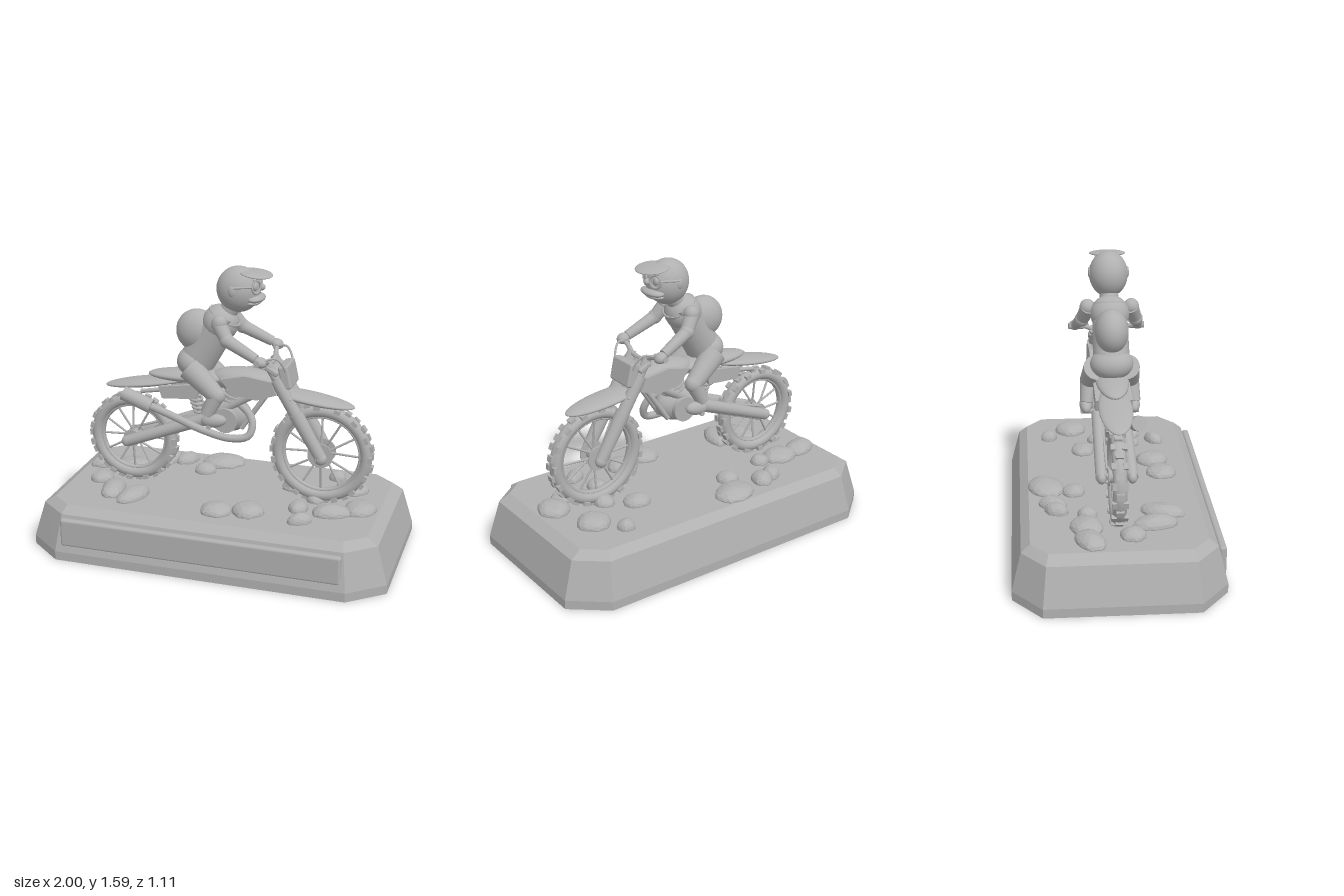
import * as THREE from 'three';
import { RoundedBoxGeometry } from 'three/addons/geometries/RoundedBoxGeometry.js';
import { ConvexGeometry } from 'three/addons/geometries/ConvexGeometry.js';

const V = (x, y, z) => new THREE.Vector3(x, y, z);
const grey = new THREE.MeshStandardMaterial({ color: 0xb0b0b0 });
grey.name = 'plain grey';

function add(parent, name, geometry) {
  const mesh = new THREE.Mesh(geometry, grey);
  mesh.name = name;
  parent.add(mesh);
  return mesh;
}
// Ellipsoid with half sizes s, tilted in the side plane
function ball(parent, name, p, s, tilt = 0) {
  const m = add(parent, name, new THREE.SphereGeometry(1, 28, 18));
  m.position.set(...p);
  m.scale.set(...s);
  m.rotation.z = tilt;
  return m;
}
// Straight round bar from a to b
function rod(parent, name, a, b, r0, r1 = r0) {
  const p = V(...a), q = V(...b);
  const m = add(parent, name, new THREE.CylinderGeometry(r1, r0, p.distanceTo(q), 18));
  m.position.copy(p).add(q).multiplyScalar(0.5);
  m.quaternion.setFromUnitVectors(V(0, 1, 0), q.sub(p).normalize());
  return m;
}
function tube(parent, name, points, r) {
  const curve = new THREE.CatmullRomCurve3(points.map(p => V(...p)));
  return add(parent, name, new THREE.TubeGeometry(curve, 40, r, 10));
}
function block(parent, name, p, s, tilt = 0, r = 0.01) {
  const m = add(parent, name, new RoundedBoxGeometry(...s, 2, r));
  m.position.set(...p);
  m.rotation.z = tilt;
  return m;
}
// Flat plate in the side plane, extruded towards +z
function plate(parent, name, pts, z, depth) {
  const shape = new THREE.Shape(pts.map(p => new THREE.Vector2(...p)));
  const m = add(parent, name, new THREE.ExtrudeGeometry(shape, { depth, bevelEnabled: false }));
  m.position.z = z;
  return m;
}
function group(parent, name) {
  const g = new THREE.Group();
  g.name = name;
  parent.add(g);
  return g;
}

function buildBase(root) {
  const g = group(root, 'base');
  // Octagonal rings: height, half width, half depth, corner cuts
  const rings = [[0, 1, 0.556, 0.19, 0.155], [0.05, 1, 0.556, 0.19, 0.155],
    [0.255, 0.94, 0.505, 0.155, 0.125], [0.295, 0.88, 0.457, 0.11, 0.09]];
  const pts = [];
  for (const [y, w, d, cx, cz] of rings)
    for (const sx of [-1, 1]) for (const sz of [-1, 1])
      pts.push(V(sx * w, y, sz * (d - cz)), V(sx * (w - cx), y, sz * d));
  add(g, 'plinth', new ConvexGeometry(pts));
  block(g, 'plaque', [0, 0.163, 0.53], [1.56, 0.16, 0.04], 0, 0.015);

  // Rocks: x, z, half sizes, turn
  const rocks = [[-0.12, -0.36, 0.13, 0.1, 0.3], [-0.34, -0.33, 0.06, 0.08, -0.5], [-0.42, -0.31, 0.05, 0.07, -0.5],
    [-0.19, -0.21, 0.065, 0.065, 0], [-0.61, -0.16, 0.11, 0.09, 0], [-0.77, -0.15, 0.11, 0.075, 0.4],
    [-0.47, -0.15, 0.055, 0.055, 0], [0.57, -0.325, 0.05, 0.05, 0], [0.685, -0.19, 0.095, 0.095, 0],
    [0.37, -0.13, 0.08, 0.07, 0], [0.78, 0.06, 0.09, 0.1, 0], [0.64, 0.15, 0.11, 0.07, 0.3],
    [0.455, 0.14, 0.055, 0.07, 0], [0.5, 0.3, 0.07, 0.045, 0.6], [0.205, 0.26, 0.09, 0.095, 0],
    [0.035, 0.3, 0.09, 0.09, 0], [-0.465, 0.25, 0.07, 0.125, -0.3], [-0.6, 0.2, 0.07, 0.125, 0.2],
    [-0.72, 0.07, 0.07, 0.07, 0], [0.52, -0.02, 0.06, 0.08, 0]];
  rocks.forEach(([x, z, rx, rz, turn], i) => {
    const geo = new THREE.IcosahedronGeometry(1, 2), p = geo.attributes.position;
    for (let k = 0; k < p.count; k++) {
      const v = V(0, 0, 0).fromBufferAttribute(p, k);
      v.multiplyScalar(0.98 + 0.05 * Math.sin(v.x * 4 + i) * Math.cos(v.z * 5 + i * 2));
      p.setXYZ(k, v.x, v.y, v.z);
    }
    geo.computeVertexNormals();
    const m = add(g, 'rock', geo);
    m.position.set(x, 0.3, z);
    m.scale.set(rx, 0.045 + 0.003 * (i % 3), rz);
    m.rotation.y = turn;
  });
}

function buildWheel(root, name, x, R, discR) {
  const g = group(root, name);
  g.position.set(x, 0.29 + R, 0);
  add(g, 'tyre', new THREE.TorusGeometry(R - 0.044, 0.033, 14, 64)).scale.z = 1.1;
  add(g, 'rim', new THREE.TorusGeometry(R - 0.076, 0.01, 8, 64)).scale.z = 2;
  const knobs = 30;
  for (let i = 0; i < knobs; i++) {
    const a = (i / knobs) * Math.PI * 2;
    const rows = i % 2 ? [[0, R - 0.011]] : [[-0.029, R - 0.02], [0.029, R - 0.02]];
    for (const [z, r] of rows) {
      const k = add(g, 'treadKnob', new THREE.BoxGeometry(0.022, 0.034, z ? 0.026 : 0.04));
      k.position.set(Math.cos(a) * r, Math.sin(a) * r, z);
      k.rotation.z = a;
    }
  }
  for (let i = 0; i < 12; i++) {
    const a = (i / 12) * Math.PI * 2, c = Math.cos(a), s = Math.sin(a), z = i % 2 ? 0.02 : -0.02;
    rod(g, 'spoke', [c * 0.025, s * 0.025, z], [c * (R - 0.07), s * (R - 0.07), 0], 0.006);
  }
  rod(g, 'hub', [0, 0, -0.04], [0, 0, 0.04], 0.035);
  rod(g, 'axle', [0, 0, -0.1], [0, 0, 0.1], 0.016);
  for (const s of [-1, 1]) rod(g, 'disc', [0, 0, s * 0.038], [0, 0, s * 0.046], discR);
}

function buildBike(root) {
  const g = group(root, 'motorbike');
  buildWheel(g, 'rearWheel', -0.545, 0.265, 0.05);
  buildWheel(g, 'frontWheel', 0.545, 0.289, 0.07);
  for (const s of [-1, 1]) {
    // Frame and suspension
    rod(g, 'swingArm', [-0.56, 0.55, s * 0.08], [-0.1, 0.73, s * 0.07], 0.031, 0.035);
    ball(g, 'swingArmEnd', [-0.56, 0.55, s * 0.08], [0.031, 0.031, 0.025]);
    rod(g, 'frameRail', [-0.14, 0.715, s * 0.065], [0.29, 0.97, s * 0.03], 0.028);
    rod(g, 'seatRail', [-0.47, 0.855, s * 0.07], [-0.1, 0.92, s * 0.07], 0.012);
    rod(g, 'downTube', [0.27, 0.94, s * 0.03], [0.1, 0.69, s * 0.04], 0.014);
    rod(g, 'forkUpper', [0.25, 1.09, s * 0.072], [0.41, 0.82, s * 0.072], 0.024);
    rod(g, 'forkSleeve', [0.3, 1.0, s * 0.072], [0.42, 0.8, s * 0.072], 0.034);
    rod(g, 'forkLower', [0.41, 0.82, s * 0.072], [0.56, 0.57, s * 0.072], 0.04, 0.032);
    ball(g, 'forkEnd', [0.555, 0.575, s * 0.075], [0.035, 0.035, 0.03]);
    // Body panels
    plate(g, 'sidePanel', [[-0.36, 0.9], [-0.34, 0.835], [-0.14, 0.85], [-0.12, 0.935]], s * 0.085 - 0.012, 0.024);
    plate(g, 'shroud', [[0.0, 0.98], [0.06, 0.9], [0.2, 0.88], [0.31, 0.92], [0.28, 0.99], [0.14, 1.01]], s * 0.09 - 0.012, 0.024);
    // Controls
    rod(g, 'grip', [0.245, 1.115, s * 0.13], [0.23, 1.12, s * 0.21], 0.018);
    tube(g, 'cable', [[0.25, 1.12, s * 0.14], [0.31, 1.13, s * 0.12], [0.35, 1.07, s * 0.09], [0.36, 0.98, s * 0.06]], 0.006);
    rod(g, 'footPeg', [-0.05, 0.72, s * 0.05], [-0.05, 0.72, s * 0.16], 0.014);
  }
  tube(g, 'handlebar', [[0.24, 1.115, -0.19], [0.25, 1.11, -0.12], [0.26, 1.08, -0.05], [0.26, 1.08, 0.05],
    [0.25, 1.11, 0.12], [0.24, 1.115, 0.19]], 0.013);
  rod(g, 'steeringHead', [0.25, 1.06, 0], [0.34, 0.9, 0], 0.035);
  for (const [x, y] of [[0.28, 1.05], [0.355, 0.91]]) block(g, 'forkClamp', [x, y, 0], [0.08, 0.03, 0.2], -0.52);
  block(g, 'numberPlate', [0.35, 1.015, 0], [0.055, 0.13, 0.175], 0.22, 0.012);
  ball(g, 'frontFender', [0.475, 0.89, 0], [0.245, 0.027, 0.088], -0.13);
  ball(g, 'rearFender', [-0.46, 0.892, 0], [0.25, 0.024, 0.088], 0.16);
  ball(g, 'seat', [-0.18, 0.955, 0], [0.27, 0.035, 0.09], 0.04);
  ball(g, 'tank', [0.12, 0.955, 0], [0.2, 0.07, 0.1], -0.05);

  // Engine, shock and exhaust
  ball(g, 'engine', [0.0, 0.755, 0], [0.145, 0.105, 0.085]);
  rod(g, 'engineCover', [0.02, 0.74, -0.095], [0.02, 0.74, 0.095], 0.07);
  rod(g, 'cylinder', [0.03, 0.8, 0], [0.08, 0.93, 0], 0.065);
  for (let i = 0; i < 4; i++) rod(g, 'coolingFin', [0.04 + i * 0.01, 0.84 + i * 0.025, 0], [0.043 + i * 0.01, 0.849 + i * 0.025, 0], 0.077);
  rod(g, 'shock', [-0.14, 0.72, 0], [-0.2, 0.9, 0], 0.016);
  for (let i = 0; i < 6; i++) {
    const coil = add(g, 'shockCoil', new THREE.TorusGeometry(0.033, 0.008, 8, 20));
    coil.position.set(-0.15 - i * 0.008, 0.75 + i * 0.023, 0);
    coil.rotation.x = Math.PI / 2;
  }
  rod(g, 'muffler', [-0.56, 0.85, 0.115], [-0.4, 0.785, 0.11], 0.04);
  tube(g, 'exhaustPipe', [[-0.41, 0.79, 0.11], [-0.28, 0.745, 0.11], [-0.1, 0.68, 0.11], [0.06, 0.65, 0.11],
    [0.155, 0.67, 0.1], [0.175, 0.73, 0.08], [0.15, 0.785, 0.06], [0.08, 0.83, 0.03]], 0.021);
  for (const y of [0.04, -0.04]) rod(g, 'chain', [-0.545, 0.555 + y, -0.052], [-0.05, 0.735 + y * 0.6, -0.052], 0.007);
}

function buildRider(root) {
  const g = group(root, 'rider');
  // Body
  ball(g, 'hips', [-0.18, 1.04, 0], [0.095, 0.085, 0.115]);
  rod(g, 'torso', [-0.16, 1.05, 0], [-0.005, 1.31, 0], 0.1, 0.095).scale.z = 0.98;
  ball(g, 'chest', [-0.03, 1.27, 0], [0.1, 0.1, 0.105], -0.5);
  rod(g, 'neck', [-0.01, 1.3, 0], [0.04, 1.38, 0], 0.05);
  ball(g, 'backpack', [-0.165, 1.215, 0], [0.115, 0.118, 0.09], -0.5);
  for (const s of [-1, 1]) {
    // Arms
    ball(g, 'shoulder', [0.0, 1.3, s * 0.118], [0.043, 0.043, 0.042]);
    rod(g, 'upperArm', [-0.01, 1.3, s * 0.115], [0.05, 1.215, s * 0.145], 0.042, 0.036);
    ball(g, 'elbow', [0.05, 1.215, s * 0.147], [0.04, 0.04, 0.038]);
    rod(g, 'forearm', [0.05, 1.215, s * 0.147], [0.215, 1.135, s * 0.17], 0.036, 0.027);
    ball(g, 'hand', [0.24, 1.122, s * 0.175], [0.036, 0.028, 0.035], -0.4);
    // Legs
    rod(g, 'thigh', [-0.18, 1.02, s * 0.08], [-0.02, 0.89, s * 0.115], 0.07, 0.048);
    ball(g, 'knee', [-0.02, 0.89, s * 0.115], [0.05, 0.05, 0.046]);
    rod(g, 'shin', [-0.02, 0.89, s * 0.115], [-0.07, 0.78, s * 0.13], 0.046, 0.036);
    ball(g, 'boot', [-0.03, 0.75, s * 0.132], [0.072, 0.038, 0.034], 0.15);
    rod(g, 'packStrap', [-0.05, 1.2, s * 0.075], [0.035, 1.31, s * 0.07], 0.018);
    // Face details
    const lens = add(g, 'glasses', new THREE.TorusGeometry(0.034, 0.006, 8, 28));
    lens.position.set(0.18, 1.49, s * 0.047);
    lens.rotation.y = Math.PI / 2 - s * 0.4;
    rod(g, 'glassesArm', [0.165, 1.495, s * 0.078], [0.07, 1.49, s * 0.104], 0.006);
    ball(g, 'eye', [0.172, 1.49, s * 0.042], [0.014, 0.022, 0.02]);
    ball(g, 'eyebrow', [0.172, 1.53, s * 0.045], [0.012, 0.007, 0.022]);
    ball(g, 'ear', [0.06, 1.47, s * 0.1], [0.02, 0.028, 0.01]);
  }
  // Head and cap
  ball(g, 'head', [0.07, 1.462, 0], [0.12, 0.124, 0.104]);
  ball(g, 'capBrim', [0.165, 1.552, 0], [0.09, 0.014, 0.098], -0.12);
  ball(g, 'nose', [0.197, 1.482, 0], [0.02, 0.018, 0.018]);
  ball(g, 'upperLip', [0.165, 1.422, 0], [0.05, 0.023, 0.085]);
  ball(g, 'lowerLip', [0.15, 1.4, 0], [0.045, 0.018, 0.07]);
}

export function createModel() {
  const root = new THREE.Group();
  root.name = 'motorbikeRiderOnBase';
  buildBase(root);
  buildBike(root);
  buildRider(root);
  return root;
}
